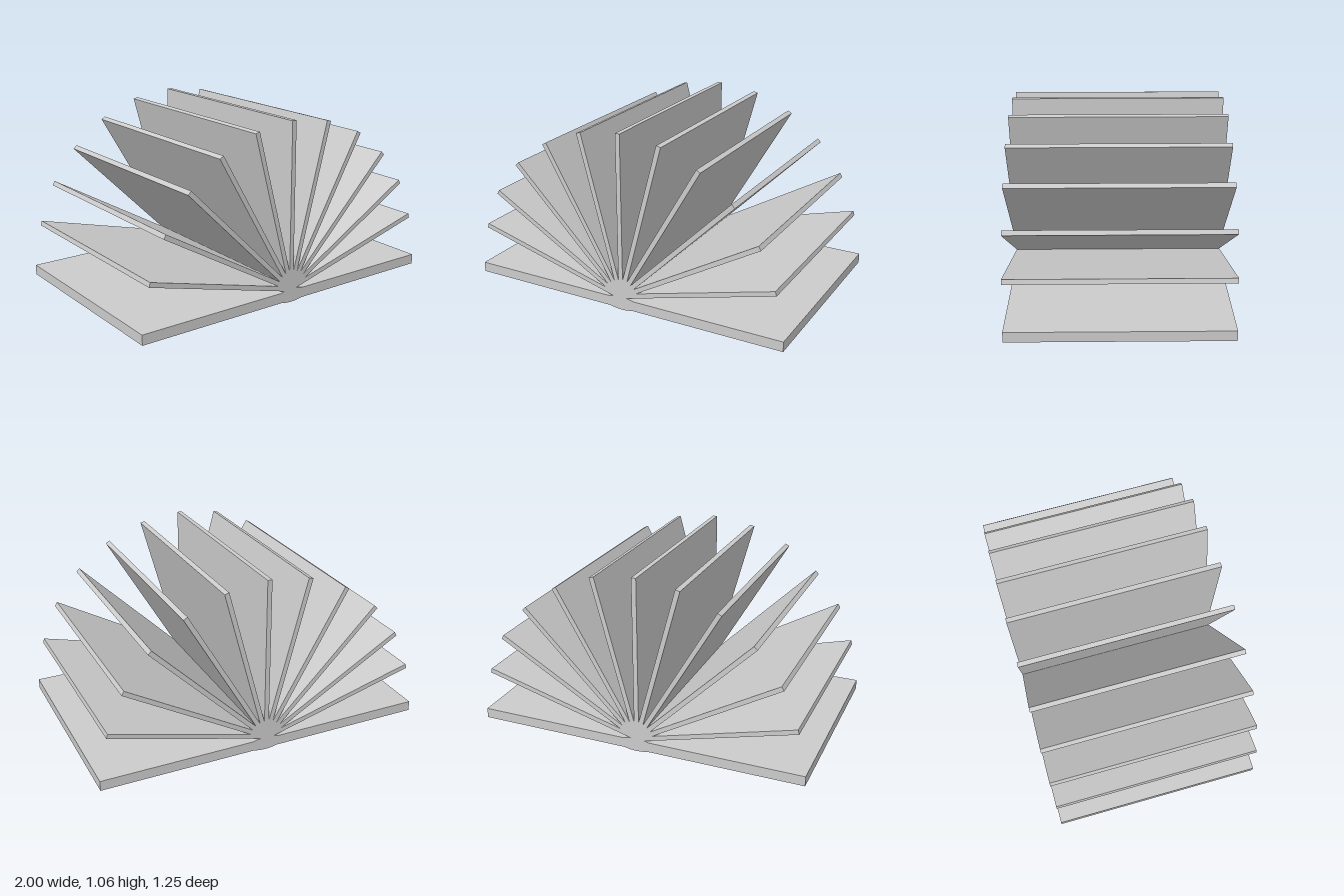
import * as THREE from 'three';

const DEPTH = 1.245;      // front to back
const PIVOT_Y = 0.08;     // line where all leaves meet
const LEAF_LENGTH = 0.98;
const LEAF_THICKNESS = 0.028;

export function createModel() {
  const model = new THREE.Group();
  const material = new THREE.MeshStandardMaterial({ color: 0xcccccc, flatShading: true });

  const add = (name, geometry) => {
    const mesh = new THREE.Mesh(geometry, material);
    mesh.name = name;
    model.add(mesh);
    return mesh;
  };

  // Flat open cover
  add('cover', new THREE.BoxGeometry(2, 0.06, DEPTH)).position.y = 0.039;

  // Shallow rounded spine, bulging slightly below the cover
  const spine = new THREE.CylinderGeometry(1, 1, DEPTH, 48).rotateX(Math.PI / 2);
  spine.scale(0.115, 0.04, 1);
  add('spine', spine).position.y = 0.04;

  // Fan of eleven leaves, fifteen degrees apart
  const leaf = new THREE.BoxGeometry(LEAF_LENGTH, LEAF_THICKNESS, DEPTH);
  leaf.translate(LEAF_LENGTH / 2, 0.004, 0);
  for (let i = 1; i <= 11; i++) {
    const mesh = add('leaf' + i, leaf);
    mesh.position.y = PIVOT_Y;
    mesh.rotation.z = THREE.MathUtils.degToRad(15 * i);
  }

  return model;
}
